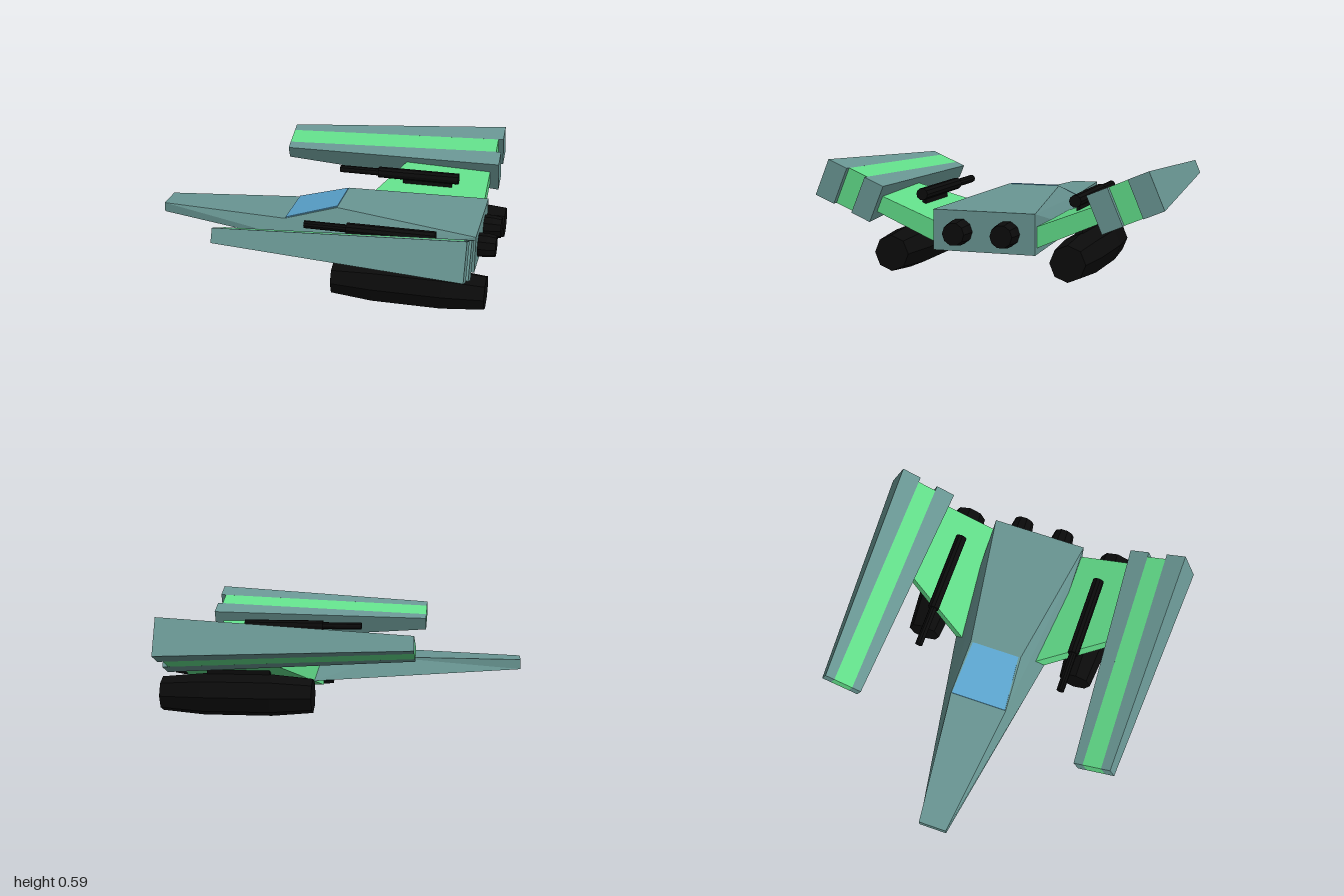
import * as THREE from 'three';
import { ConvexGeometry } from 'three/addons/geometries/ConvexGeometry.js';

const mat = (name, color) => {
  const m = new THREE.MeshStandardMaterial({ color, flatShading: true });
  m.name = name;
  return m;
};
const V = (x, y, z) => new THREE.Vector3(x, y, z);

export function createModel() {
  const hull = mat('greyTealHull', 0x699693);
  const green = mat('greenPanel', 0x62de8a);
  const glass = mat('blueGlass', 0x5ca6d0);
  const black = mat('blackMetal', 0x0b0b0b);
  const root = new THREE.Group();

  const add = (name, geometry, material, parent = root) => {
    const m = new THREE.Mesh(geometry, material);
    m.name = name;
    parent.add(m);
    return m;
  };

  // Solid of revolution along x; profile is [x, radius] pairs
  const turned = (profile, sides) => {
    const [first, last] = [profile[0], profile[profile.length - 1]];
    const pts = [[first[0], 0], ...profile, [last[0], 0]].map(([x, r]) => new THREE.Vector2(r, x));
    return new THREE.LatheGeometry(pts, sides).rotateZ(-Math.PI / 2);
  };

  // Fuselage: lowercase corners are the mirror of uppercase ones
  const corner = {
    A: V(-1, 0.275, 0.08), B: V(-1, 0.22, 0.08),
    C: V(-0.23, 0.292, 0.168), D: V(0.08, 0.385, 0.153),
    E: V(0.89, 0.345, 0.28), F: V(0.89, 0.13, 0.28), G: V(0.16, 0.165, 0.28),
  };
  const at = (k) => {
    const p = corner[k.toUpperCase()];
    return k === k.toUpperCase() ? p : V(p.x, p.y, -p.z);
  };
  const swapCase = (k) => (k === k.toUpperCase() ? k.toLowerCase() : k.toUpperCase());
  const sides = ['ABGC', 'CGE', 'GFE', 'CED'];
  const mirrored = sides.map((f) => [...f].reverse().map(swapCase).join(''));
  const middle = ['aACC'.replace(/C$/, 'c'), 'cCDd', 'dDEe', 'EFfe', 'abBA', 'bgfFGB'];
  const tris = [];
  for (const face of [...sides, ...mirrored, ...middle]) {
    for (let i = 1; i < face.length - 1; i++) tris.push(at(face[0]), at(face[i]), at(face[i + 1]));
  }
  const body = new THREE.BufferGeometry().setFromPoints(tris);
  body.computeVertexNormals();
  add('fuselage', body, hull);

  // Canopy glass, a thin plate on the sloping face
  add('canopy', new ConvexGeometry([1, -1].flatMap((s) => [0, 0.006].flatMap((h) => [
    V(-0.226, 0.293 + h, 0.163 * s), V(0.077, 0.384 + h, 0.14 * s),
  ]))), glass);

  // Pair of rear thrusters
  for (const z of [0.13, -0.13]) {
    add('rearThruster', turned([[0.86, 0.068], [0.94, 0.068], [0.99, 0.06]], 10), black)
      .position.set(0, 0.235, z);
  }

  const tilt = 0.398;
  for (const s of [1, -1]) {
    const side = new THREE.Group();
    side.name = s > 0 ? 'leftWing' : 'rightWing';
    root.add(side);

    // Swept pylon between fuselage and wing
    add('pylon', new ConvexGeometry([
      [0.2, 0.245, 0.13], [0.65, 0.42, 0.325],
    ].flatMap(([z, top, bottom]) => [top, bottom].flatMap((y) => [
      V(0.16 + (z - 0.28) * 0.55, y, z * s), V(0.86, y, z * s),
    ]))), green, side);

    // Wing bar point: u across the bar, v through its thickness
    const c = Math.cos(tilt), n = Math.sin(tilt);
    const barPoint = (x, u, v) => V(x, 0.425 + u * n + v * c, (0.755 + u * c - v * n) * s);
    // Tapered slab from [x, u0, u1, half thickness] sections
    const slab = (sections) => new ConvexGeometry(sections.flatMap(([x, u0, u1, t]) => [
      barPoint(x, u0, t), barPoint(x, u1, t), barPoint(x, u0, -t), barPoint(x, u1, -t),
    ]));
    add('innerBar', slab([[-0.43, -0.111, -0.056, 0.04], [0.912, -0.172, -0.056, 0.105]]), hull, side);
    add('middleBar', slab([[-0.43, -0.056, 0.056, 0.04], [0.882, -0.056, 0.056, 0.1035]]), green, side);
    add('outerBar', slab([[-0.43, 0.056, 0.111, 0.04], [0.912, 0.056, 0.172, 0.105]]), hull, side);

    // Engine pod with its strut under the pylon
    add('enginePod', turned([[0.14, 0.095], [0.37, 0.116], [0.75, 0.116], [0.98, 0.095]], 8), black, side)
      .position.set(0, 0.116, 0.48 * s);
    add('podStrut', new THREE.BoxGeometry(0.35, 0.1, 0.04), black, side)
      .position.set(0.555, 0.225, 0.465 * s);

    // Cannon on a low mount above the pylon
    add('cannon', turned([[-0.04, 0.022], [0.2, 0.022], [0.2, 0.033], [0.69, 0.033]], 10), black, side)
      .position.set(0, 0.39, 0.432 * s);
    add('cannonMount', new THREE.BoxGeometry(0.3, 0.06, 0.02), black, side)
      .position.set(0.5, 0.35, 0.437 * s);
  }
  return root;
}
